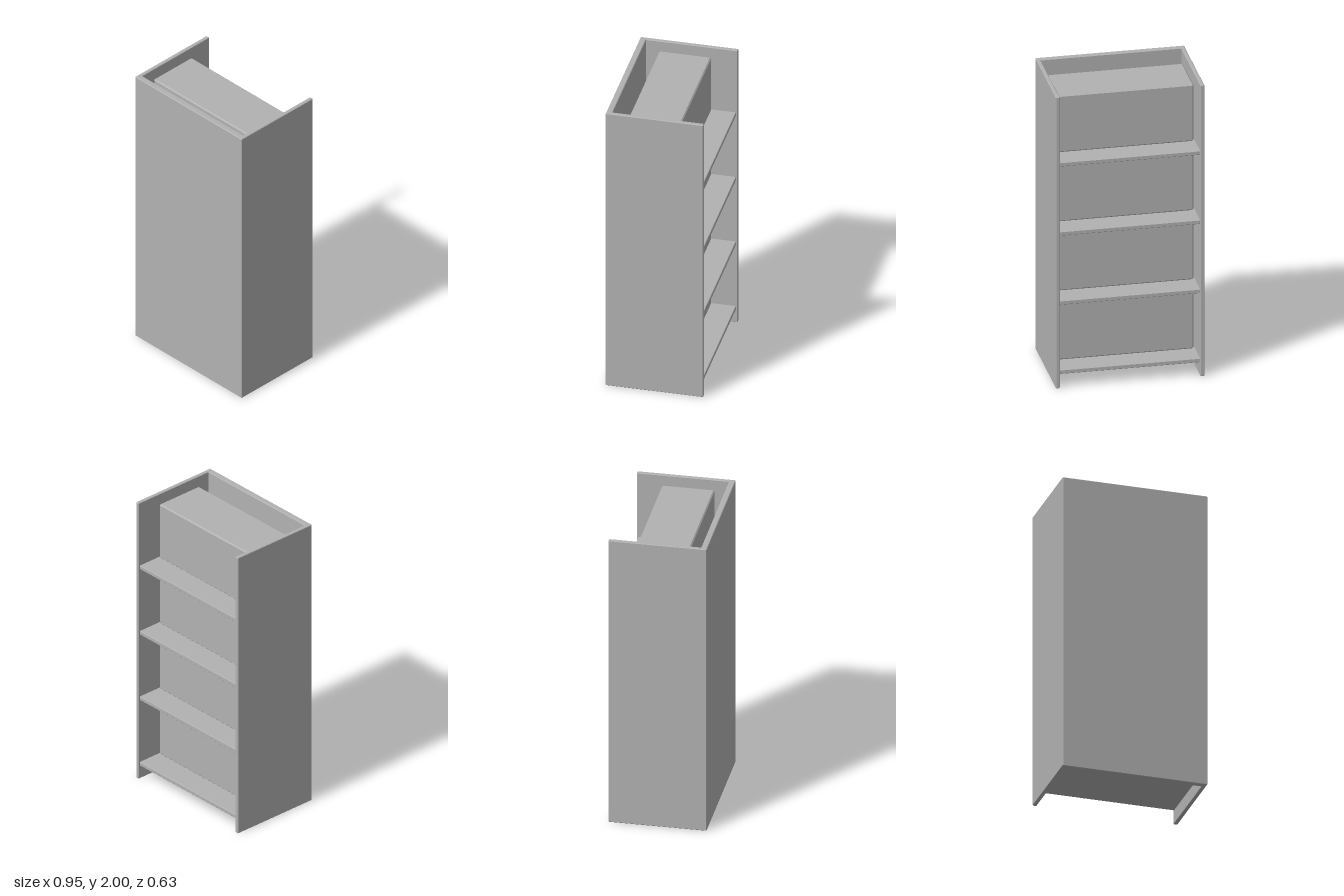
import * as THREE from 'three';

const grey = new THREE.MeshStandardMaterial({ color: 0xb2b2b2 });
grey.name = 'grey';

// Cut the outward corners of a counter-clockwise outline by c
function chamferedShape(points, c) {
  const out = [];
  points.forEach(([x, y], i) => {
    const p = new THREE.Vector2(x, y);
    const toPrev = new THREE.Vector2(...points.at(i - 1)).sub(p).normalize();
    const toNext = new THREE.Vector2(...points[(i + 1) % points.length]).sub(p).normalize();
    if (toNext.cross(toPrev) < 0) out.push(p);
    else out.push(p.clone().addScaledVector(toPrev, c), p.clone().addScaledVector(toNext, c));
  });
  return new THREE.Shape(out);
}

// Upright prism with chamfered edges; outline is given in (x, -z)
function prism(name, points, y0, y1, c) {
  const geometry = new THREE.ExtrudeGeometry(chamferedShape(points, c), {
    depth: y1 - y0 - 2 * c, bevelEnabled: true, bevelSegments: 1,
    bevelSize: c, bevelThickness: c, bevelOffset: -c,
  });
  geometry.rotateX(-Math.PI / 2).translate(0, y0 + c, 0);
  const mesh = new THREE.Mesh(geometry, grey);
  mesh.name = name;
  return mesh;
}

// Outline of a rectangle centred on x, from back to front in z
const rect = (halfX, back, front) => [
  [-halfX, -front], [halfX, -front], [halfX, -back], [-halfX, -back],
];

export function createModel() {
  const group = new THREE.Group();
  group.name = 'shelfUnit';

  // Front panel and both side panels in one U-shaped shell
  const X = 0.477, Z = 0.315, innerX = 0.451, innerZ = 0.276;
  group.add(prism('shell', [
    [-X, -Z], [X, -Z], [X, Z], [innerX, Z],
    [innerX, -innerZ], [-innerX, -innerZ], [-innerX, Z], [-X, Z],
  ], 0, 2, 0.004));

  // Four shelves, each carrying a box
  for (let i = 0; i < 4; i++) {
    const top = 0.12 + i * 0.475;
    group.add(prism('shelf', rect(innerX + 0.004, -0.305, innerZ + 0.004), top - 0.027, top, 0.003));
    group.add(prism('box', rect(0.442, -0.149, 0.187), top, top + 0.39, 0.008));
  }
  return group;
}
